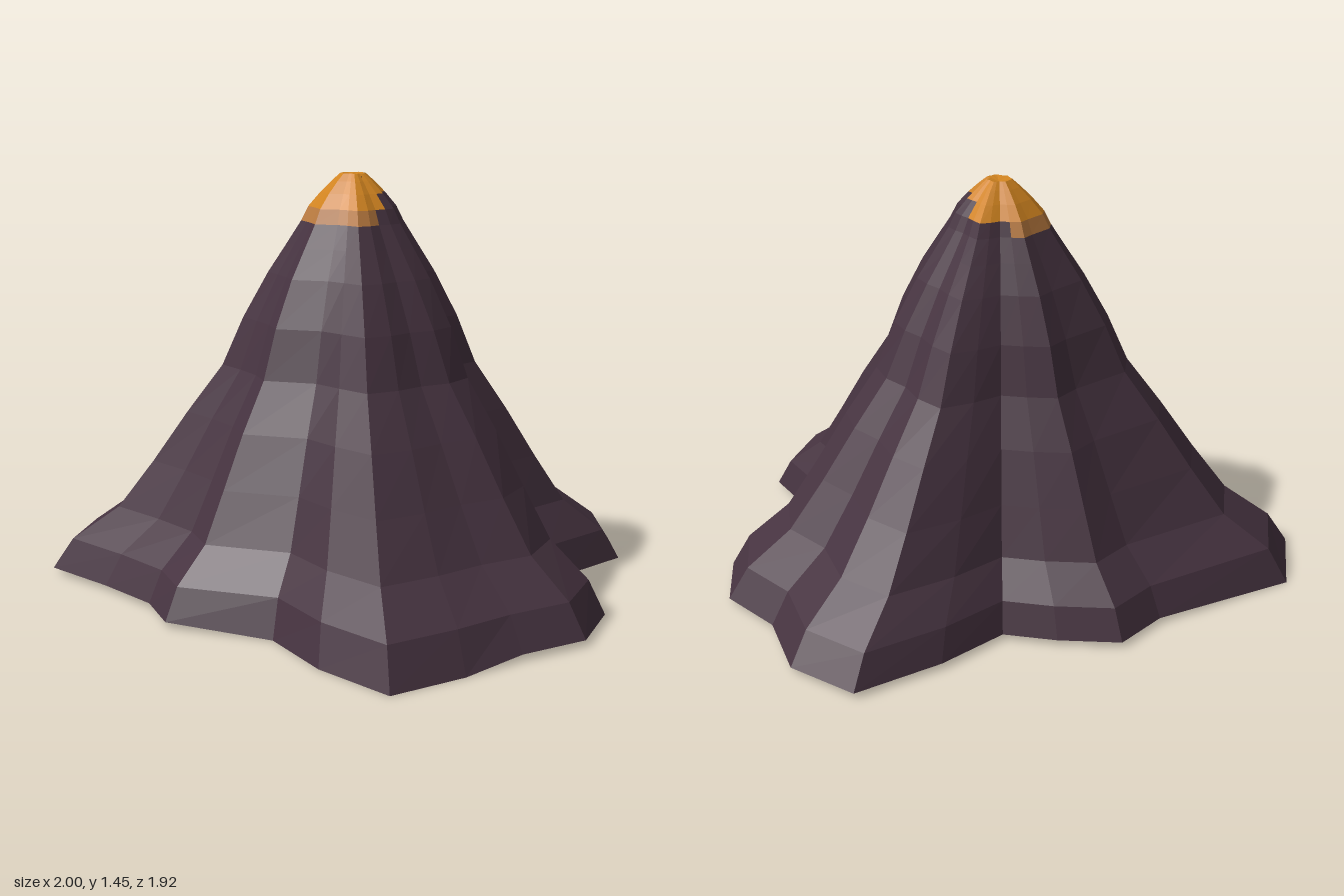
import * as THREE from 'three';

// hem corners seen from above: [x, z, width of that fold near the top]
const HEM = [
  [-0.12, -0.96, 0.83], [0.12, -0.83, 0.8], [0.36, -0.82, 0.85], [0.54, -0.65, 0.95],
  [0.53, -0.34, 0.72], [0.59, -0.2, 0.72], [0.89, -0.12, 1.04], [1, 0.12, 0.98],
  [0.94, 0.36, 0.92], [0.91, 0.59, 1], [0.85, 0.86, 1.03], [0.54, 0.86, 0.87],
  [0.25, 0.79, 0.82], [-0.09, 0.96, 0.98], [-0.28, 0.88, 0.9], [-0.54, 0.87, 0.9],
  [-0.84, 0.88, 0.97], [-1, 0.65, 0.96], [-0.83, 0.12, 0.85], [-0.83, -0.09, 0.9],
  [-0.66, -0.23, 0.78], [-0.5, -0.33, 0.72], [-0.47, -0.6, 0.82], [-0.38, -0.92, 0.92],
];
// height, spread, and how far the folds have moved to their upper width
const ROWS = [
  [0.02, 1, 0], [0.13, 0.935, 0.03], [0.25, 0.785, 0.1], [0.42, 0.675, 0.23], [0.6, 0.565, 0.36],
  [0.77, 0.45, 0.5], [0.94, 0.382, 0.62], [1.1, 0.298, 0.74], [1.2, 0.234, 0.8],
  [1.28, 0.183, 0.84], [1.33, 0.158, 0.86], [1.38, 0.115, 0.9], [1.42, 0.074, 0.92], [1.445, 0.045, 0.95],
];
const CX = -0.06, CZ = 0.12;

function canopyPoint(i, j) {
  const n = i % HEM.length;
  const [hx, hz, fold] = HEM[n];
  const [y, spread, upper] = ROWS[j];
  const dx = hx - CX, dz = hz - CZ, len = Math.hypot(dx, dz);
  const r = spread * (len * (1 - upper) + fold * upper);
  const touchesGround = j === 0 && hz > 0.5 && hz < 0.87;
  return [CX + (dx / len) * r, touchesGround ? 0 : y, CZ + (dz / len) * r];
}

// how low the cap colour reaches in each direction
function capEdge(i) {
  if (i >= 1 && i <= 6) return 1.37;
  return i === 0 || i === 7 || i >= 20 ? 1.32 : 1.27;
}

function meshFrom(name, positions, material) {
  const g = new THREE.BufferGeometry();
  g.setAttribute('position', new THREE.Float32BufferAttribute(positions, 3));
  g.computeVertexNormals();
  const mesh = new THREE.Mesh(g, material);
  mesh.name = name;
  return mesh;
}

function makeMaterial(name, color, side = THREE.FrontSide) {
  const m = new THREE.MeshStandardMaterial({ color, side, flatShading: true });
  m.name = name;
  return m;
}

export function createModel() {
  const model = new THREE.Group();
  model.name = 'drapedCanopy';
  const cloth = makeMaterial('plum cloth', 0x463340, THREE.DoubleSide);
  const orange = makeMaterial('orange cap', 0xd0831f, THREE.DoubleSide);
  const tan = makeMaterial('faded orange', 0xb97a3f, THREE.DoubleSide);
  const iron = makeMaterial('dark iron', 0x2a2226);

  // pleated shell, sorted into cloth, faded border and orange cap
  const clothFaces = [], borderFaces = [], capFaces = [];
  const last = ROWS.length - 1;
  for (let i = 0; i < HEM.length; i++) {
    for (let j = 0; j < last; j++) {
      const a = canopyPoint(i, j), b = canopyPoint(i + 1, j);
      const c = canopyPoint(i + 1, j + 1), d = canopyPoint(i, j + 1);
      const y = ROWS[j][0];
      let target = capFaces;
      if (y < capEdge(i)) target = clothFaces;
      else if (y < 1.32) target = borderFaces;
      target.push(...b, ...a, ...d, ...b, ...d, ...c);
    }
    // slightly sunken crown
    capFaces.push(...canopyPoint(i + 1, last), ...canopyPoint(i, last), CX, 1.435, CZ);
  }
  model.add(meshFrom('canopyCloth', clothFaces, cloth));
  model.add(meshFrom('capBorder', borderFaces, tan));
  model.add(meshFrom('crownCap', capFaces, orange));

  // lamp hanging inside on a long cord
  const lamp = new THREE.Group();
  lamp.name = 'hangingLamp';
  lamp.position.set(-0.01, 0.125, 0.13);
  const add = (name, geometry, material, y = 0) => {
    const mesh = new THREE.Mesh(geometry, material);
    mesh.name = name;
    mesh.position.y = y;
    lamp.add(mesh);
    return mesh;
  };
  add('cord', new THREE.CylinderGeometry(0.004, 0.004, 1.16, 5), iron, 0.73);
  const bowl = [[0, -0.035], [0.04, -0.03], [0.07, -0.01], [0.08, 0.015], [0.065, 0.012], [0, -0.015]];
  add('bowl', new THREE.LatheGeometry(bowl.map(p => new THREE.Vector2(...p)), 12), orange);
  add('bowlBand', new THREE.TorusGeometry(0.07, 0.008, 6, 14), iron, -0.008).rotation.x = Math.PI / 2;
  add('bowlRim', new THREE.TorusGeometry(0.076, 0.008, 6, 14), orange, 0.014).rotation.x = Math.PI / 2;
  add('embers', new THREE.IcosahedronGeometry(0.035, 0), orange, 0.005);
  for (let k = 0; k < 3; k++) {
    const t = (k * Math.PI * 2) / 3;
    const chain = new THREE.LineCurve3(
      new THREE.Vector3(Math.cos(t) * 0.07, 0.012, Math.sin(t) * 0.07),
      new THREE.Vector3(0, 0.15, 0));
    add('hangerChain', new THREE.TubeGeometry(chain, 1, 0.005, 5), iron);
  }
  model.add(lamp);
  return model;
}
